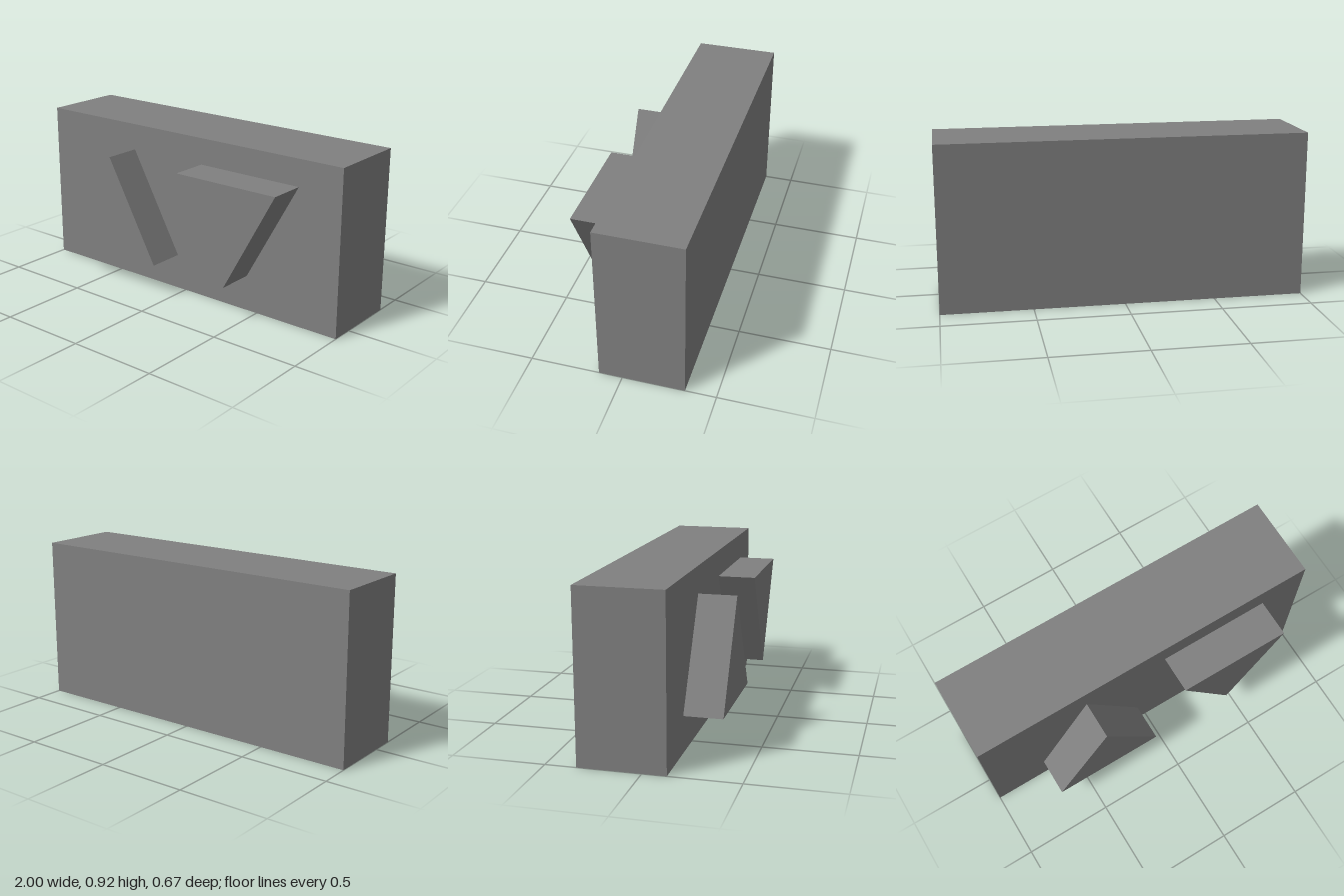
import * as THREE from 'three';

export function createModel() {
  const group = new THREE.Group();
  const grey = new THREE.MeshStandardMaterial({ color: 0x808080 });
  grey.name = 'grey';

  const back = -0.335, face = 0.127, front = 0.335;
  const height = 0.915;

  // Main slab
  const slab = new THREE.Mesh(new THREE.BoxGeometry(2, height, face - back), grey);
  slab.name = 'slab';
  slab.position.set(0, height / 2, (face + back) / 2);
  group.add(slab);

  // Triangular button: flat edge at baseY, point at tipY
  function addButton(name, x, baseY, tipY) {
    const half = 0.315;
    const shape = new THREE.Shape([
      new THREE.Vector2(-half, baseY),
      new THREE.Vector2(half, baseY),
      new THREE.Vector2(0, tipY),
    ]);
    const geometry = new THREE.ExtrudeGeometry(shape, { depth: front - face, bevelEnabled: false });
    const button = new THREE.Mesh(geometry, grey);
    button.name = name;
    button.position.set(x, 0, face);
    group.add(button);
  }

  addButton('upButton', -0.37, 0.2, 0.767);
  addButton('downButton', 0.43, 0.767, 0.2);

  return group;
}
